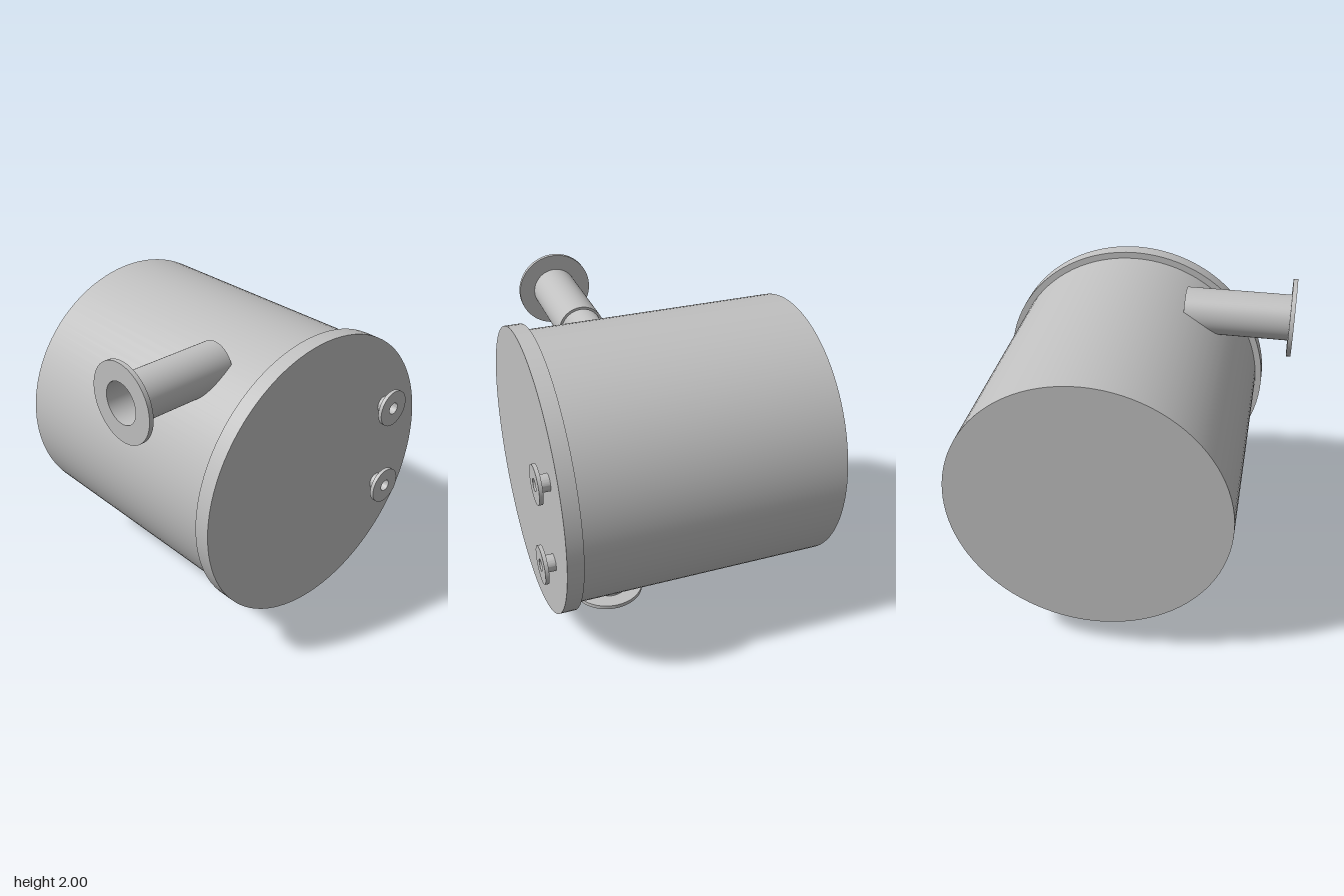
import * as THREE from 'three';
import { toCreasedNormals } from 'three/addons/utils/BufferGeometryUtils.js';

const SEG = 96;
const AXIS_X = 0.084, AXIS_Y = 1.06; // axis of the drum

export function createModel() {
  const model = new THREE.Group();
  model.name = 'flangedTank';
  const steel = new THREE.MeshStandardMaterial({ color: 0xc0c0c0 });
  steel.name = 'grey steel';

  // Solid disc or drum lying along z
  function drum(name, radius, zBack, zFront) {
    const geo = new THREE.CylinderGeometry(radius, radius, zFront - zBack, SEG);
    geo.rotateX(Math.PI / 2);
    const mesh = new THREE.Mesh(geo, steel);
    mesh.name = name;
    mesh.position.set(AXIS_X, AXIS_Y, (zBack + zFront) / 2);
    model.add(mesh);
  }

  // Hollow pipe with an end flange, growing along its own +y from the root
  function nozzle(name, { length, bore, pipe, flange, thickness }, position, rotation) {
    const neck = length - thickness;
    const profile = [
      [bore, 0], [pipe, 0], [pipe, neck], [flange, neck],
      [flange, length], [bore, length], [bore, 0],
    ].map(([r, y]) => new THREE.Vector2(r, y));
    const geo = toCreasedNormals(new THREE.LatheGeometry(profile, 64), Math.PI / 6);
    const mesh = new THREE.Mesh(geo, steel);
    mesh.name = name;
    mesh.position.set(...position);
    mesh.rotation.set(...rotation);
    model.add(mesh);
  }

  // Main drum and its front cover plate
  drum('tankBody', 0.845, -0.9, 0.73);
  drum('frontCover', 0.886, 0.722, 0.82);

  // Large nozzles: side inlet near the top and drain underneath
  const large = { bore: 0.124, pipe: 0.14, flange: 0.237, thickness: 0.027 };
  nozzle('sideNozzle', { ...large, length: 0.668 }, [-0.307, 1.763, 0.341], [0, 0, Math.PI / 2]);
  nozzle('bottomNozzle', { ...large, length: 0.25 }, [AXIS_X, 0.25, 0.341], [Math.PI, 0, 0]);

  // Two small gauge nozzles on the front cover
  const small = { bore: 0.037, pipe: 0.051, flange: 0.116, thickness: 0.023, length: 0.085 };
  [['upperGaugeNozzle', 1.342], ['lowerGaugeNozzle', 0.778]].forEach(([name, y]) =>
    nozzle(name, small, [0.646, y, 0.815], [Math.PI / 2, 0, 0]));

  return model;
}
